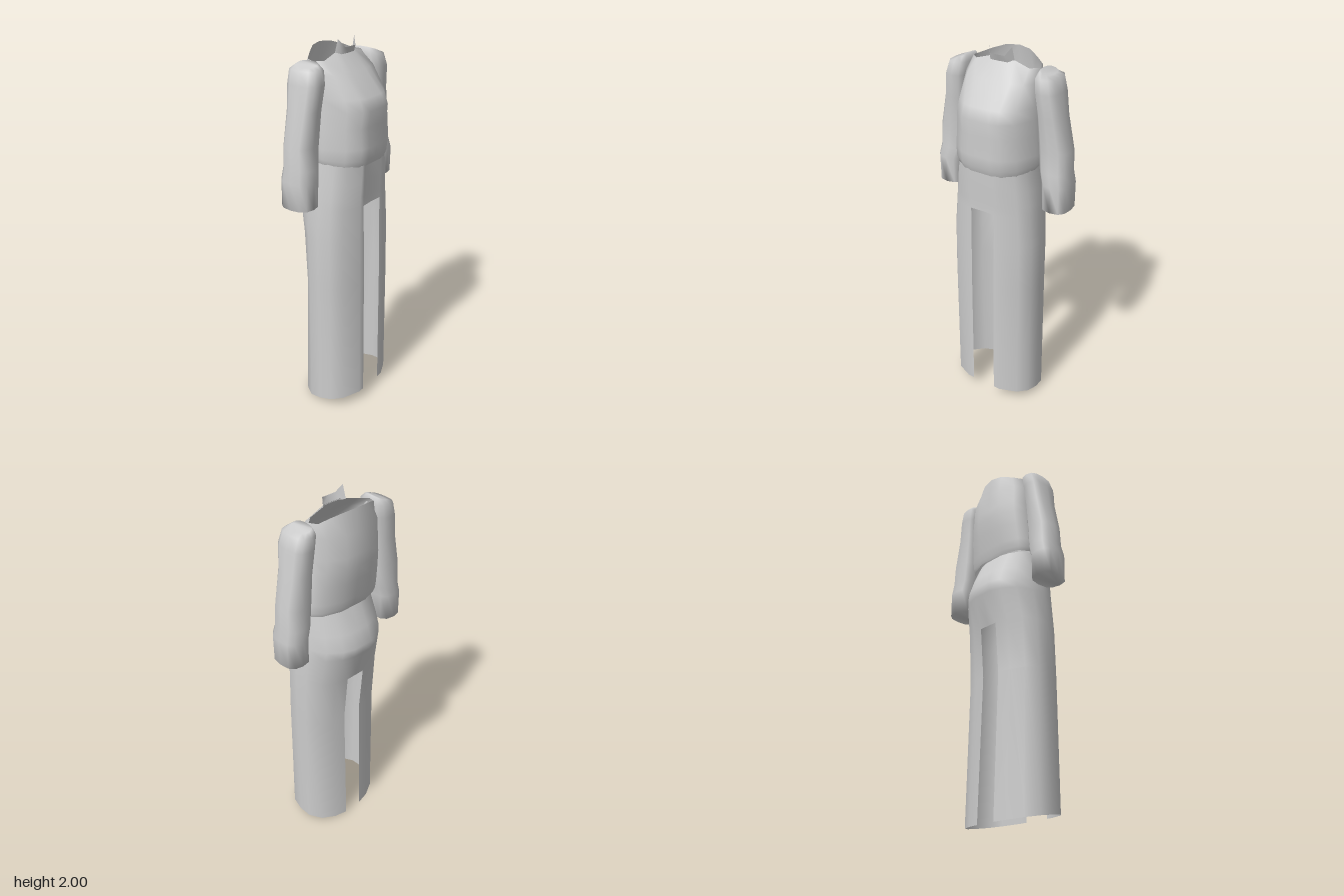
import * as THREE from 'three';

// Skin between rings of [x, y, z] points (bottom to top); skip(row, col) leaves openings
function loft(rings, { skip = () => false, caps = false } = {}) {
  const n = rings[0].length, pos = rings.flat(2), index = [];
  for (let r = 0; r < rings.length - 1; r++) {
    for (let c = 0; c < n; c++) {
      if (skip(r, c)) continue;
      const a = r * n + c, b = r * n + (c + 1) % n;
      index.push(a, b, a + n, b, b + n, a + n);
    }
  }
  if (caps) {
    const last = (rings.length - 1) * n;
    for (let c = 1; c < n - 1; c++) {
      index.push(0, c + 1, c);
      index.push(last, last + c, last + c + 1);
    }
  }
  const g = new THREE.BufferGeometry();
  g.setAttribute('position', new THREE.Float32BufferAttribute(pos, 3));
  g.setIndex(index);
  g.computeVertexNormals();
  return g;
}

// Half ring from front centre round the left side to back centre, mirrored to a full ring
const fullRing = (half) => [
  ...half,
  ...half.slice(1, -1).reverse().map(([x, y, z]) => [-x, y, z]),
];

export function createModel() {
  const model = new THREE.Group();
  const cloth = new THREE.MeshStandardMaterial({ color: 0xcccccc, side: THREE.DoubleSide });
  cloth.name = 'grey cloth';
  const add = (name, geometry) => {
    const mesh = new THREE.Mesh(geometry, cloth);
    mesh.name = name;
    model.add(mesh);
  };

  // Skirt rows: height at front, half width, front z, back z, slope along z
  const skirtRows = [
    [0.06, 0.255, 0.197, -0.155, 0.17],
    [0.75, 0.255, 0.192, -0.13, 0],
    [1.02, 0.252, 0.187, -0.152, 0],
    [1.19, 0.237, 0.184, -0.198, 0],
    [1.24, 0.232, 0.184, -0.205, 0],
    [1.32, 0.224, 0.187, -0.175, 0],
    [1.41, 0.21, 0.188, -0.115, -0.1],
  ];
  const skirtRings = skirtRows.map(([y, w, f, b, slope]) => fullRing([
    [0, f - 0.004], [0.07, f], [0.42 * w, f], [0.78 * w, 0.78 * f], [0.95 * w, 0.5 * f],
    [w, 0.15 * f], [0.97 * w, 0.25 * b], [0.79 * w, 0.65 * b], [0.5 * w, 0.9 * b],
    [0.055, b], [0, b],
  ].map(([x, z]) => [x, y + slope * (z - 0.197), z])));
  // Front slit ends at row 3, back slit at row 2
  add('skirt', loft(skirtRings, {
    skip: (r, c) => (r < 3 && (c === 0 || c === 19)) || (r < 2 && (c === 9 || c === 10)),
  }));

  // Bodice rows: height, half width, front z, back z, slope along z
  const bodiceRows = [
    [1.405, 0.213, 0.19, -0.128, -0.1],
    [1.44, 0.222, 0.202, -0.134, -0.05],
    [1.5, 0.222, 0.209, -0.142, 0],
    [1.6, 0.216, 0.2, -0.155, 0],
    [1.68, 0.208, 0.209, -0.165, 0],
    [1.74, 0.203, 0.188, -0.163, 0],
    [1.85, 0.2, 0.095, -0.155, 0],
  ];
  const bodiceRings = bodiceRows.map(([y, w, f, b, slope]) => fullRing([
    [0, f], [0.28 * w, f], [0.5 * w, 0.95 * f], [0.8 * w, 0.72 * f], [w, 0.2 * f],
    [0.98 * w, 0.4 * b], [0.8 * w, 0.75 * b], [0.38 * w, b], [0, b],
  ].map(([x, z]) => [x, y + slope * (z - 0.2), z])));
  // Neckline, higher at the back
  bodiceRings.push(fullRing([
    [0, 1.93, 0.03], [0.05, 1.93, 0.028], [0.07, 1.935, 0.006], [0.15, 1.91, 0.005],
    [0.19, 1.91, -0.03], [0.175, 1.915, -0.075], [0.13, 1.935, -0.1],
    [0.07, 1.955, -0.13], [0, 1.962, -0.143],
  ]));
  add('bodice', loft(bodiceRings));

  // Small standing collar with two raised tips
  const across = (half) => [...half.slice(1).reverse().map(([x, y, z]) => [-x, y, z]), ...half];
  add('collar', loft([
    across([[0, 1.925, 0.032], [0.05, 1.925, 0.03], [0.07, 1.93, 0.004]]),
    across([[0, 1.96, 0.046], [0.04, 1.96, 0.046], [0.065, 2, 0.02]]),
  ], { skip: (r, c) => c === 4 }));

  // Sleeve rows: height, inner x, outer x, back z, front z
  const sleeveRows = [
    [1.222, 0.245, 0.39, -0.113, 0.062],
    [1.36, 0.243, 0.39, -0.113, 0.066],
    [1.42, 0.225, 0.378, -0.108, 0.055],
    [1.53, 0.215, 0.375, -0.105, 0.05],
    [1.7, 0.207, 0.337, -0.105, 0.058],
    [1.82, 0.195, 0.32, -0.112, 0.072],
    [1.885, 0.19, 0.3, -0.112, 0.06],
    [1.918, 0.207, 0.265, -0.09, 0.03],
  ];
  const soften = (v) => Math.sign(v) * Math.abs(v) ** 0.75;
  for (const [name, side] of [['leftSleeve', 1], ['rightSleeve', -1]]) {
    const rings = sleeveRows.map(([y, x0, x1, z0, z1]) => Array.from({ length: 12 }, (_, i) => {
      const a = (i / 12) * Math.PI * 2;
      return [
        side * (x0 + x1) / 2 + soften(Math.sin(a)) * (x1 - x0) / 2,
        // Shoulder top slopes down towards the outside
        y - (y > 1.9 ? 0.012 * (1 + side * Math.sin(a)) : 0),
        (z0 + z1) / 2 + soften(Math.cos(a)) * (z1 - z0) / 2,
      ];
    }));
    add(name, loft(rings, { caps: true }));
  }
  return model;
}
